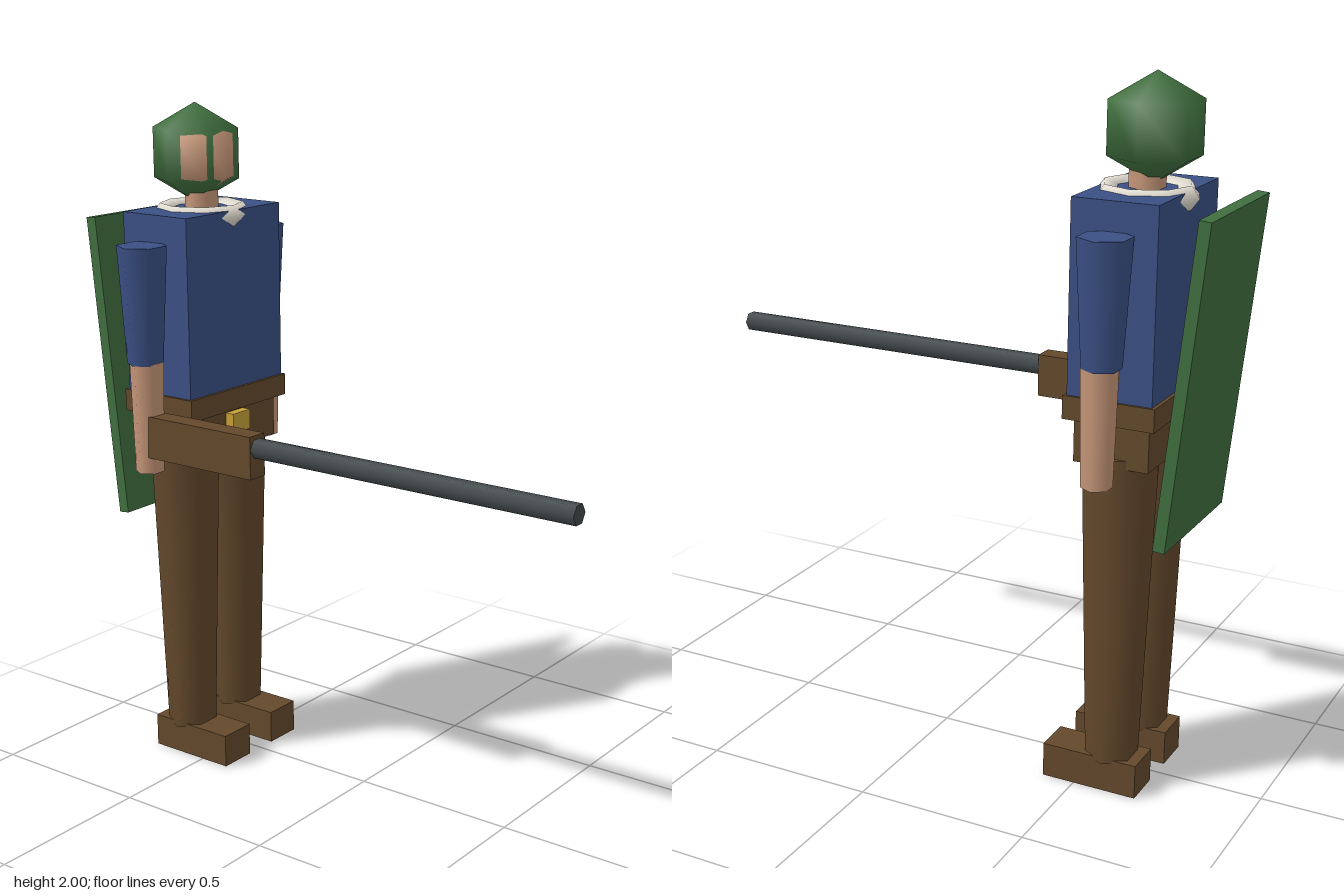
import * as THREE from 'three';

const mat = (name, color) => {
  const m = new THREE.MeshStandardMaterial({ color });
  m.name = name;
  return m;
};

export function createModel() {
  const model = new THREE.Group();
  model.name = 'soldier';

  const green = mat('green', 0x41703f);
  const blue = mat('blue', 0x3a5085);
  const brown = mat('brown', 0x64492c);
  const skin = mat('skin', 0xc8987a);
  const white = mat('offWhite', 0xe6e1d6);
  const gold = mat('gold', 0xc8a238);
  const steel = mat('steel', 0x424a4c);

  const add = (name, geometry, material, x, y, z) => {
    const mesh = new THREE.Mesh(geometry, material);
    mesh.name = name;
    mesh.position.set(x, y, z);
    model.add(mesh);
    return mesh;
  };
  // Box given by its lower and upper corners
  const box = (name, material, [x0, y0, z0], [x1, y1, z1]) =>
    add(name, new THREE.BoxGeometry(x1 - x0, y1 - y0, z1 - z0), material,
      (x0 + x1) / 2, (y0 + y1) / 2, (z0 + z1) / 2);
  // Upright six-sided limb with corners pointing sideways
  const limb = (name, material, rTop, rBottom, y0, y1, x, z) =>
    add(name, new THREE.CylinderGeometry(rTop, rBottom, y1 - y0, 6).rotateY(Math.PI / 6),
      material, x, (y0 + y1) / 2, z);

  // Torso, belt and hips
  box('torso', blue, [-0.21, 1.15, -0.714], [0.21, 1.695, -0.472]);
  box('belt', brown, [-0.218, 1.1, -0.724], [0.218, 1.165, -0.463]);
  box('hips', brown, [-0.187, 0.975, -0.7], [0.187, 1.105, -0.485]);
  box('buckle', gold, [-0.04, 1.03, -0.49], [0.038, 1.09, -0.456]);

  // Legs, shoes and arms on both sides
  for (const [side, s] of [['left', 1], ['right', -1]]) {
    limb(side + 'Leg', brown, 0.105, 0.075, 0.09, 1.0, s * 0.11, -0.59);
    box(side + 'Shoe', brown, [s * 0.111 - 0.058, 0, -0.687], [s * 0.111 + 0.058, 0.1, -0.405]);
    limb(side + 'Sleeve', blue, 0.074, 0.054, 1.27, 1.615, s * 0.266, -0.594);
    limb(side + 'Forearm', skin, 0.051, 0.043, 0.945, 1.275, s * 0.266, -0.589);
  }

  // Neck, scarf, head and helmet
  limb('neck', skin, 0.05, 0.05, 1.66, 1.76, 0, -0.595);
  add('scarf', new THREE.TorusGeometry(0.112, 0.034, 5, 8).rotateX(Math.PI / 2),
    white, 0, 1.677, -0.596);
  add('head', new THREE.SphereGeometry(0.125, 8, 3), skin, -0.005, 1.85, -0.593);
  add('helmet', new THREE.SphereGeometry(0.147, 6, 3), green, 0, 1.853, -0.613);

  // Leaning board on the back
  add('backBoard', new THREE.BoxGeometry(0.436, 0.9, 0.034), green, 0, 1.221, -0.794)
    .rotation.x = -0.1;

  // Long gun held at the right side
  box('gunStock', brown, [-0.297, 0.995, -0.6], [-0.233, 1.12, -0.178]);
  add('gunBarrel', new THREE.CylinderGeometry(0.03, 0.03, 1.1, 6)
    .rotateY(Math.PI / 6).rotateX(Math.PI / 2), steel, -0.265, 1.082, 0.307);

  return model;
}
